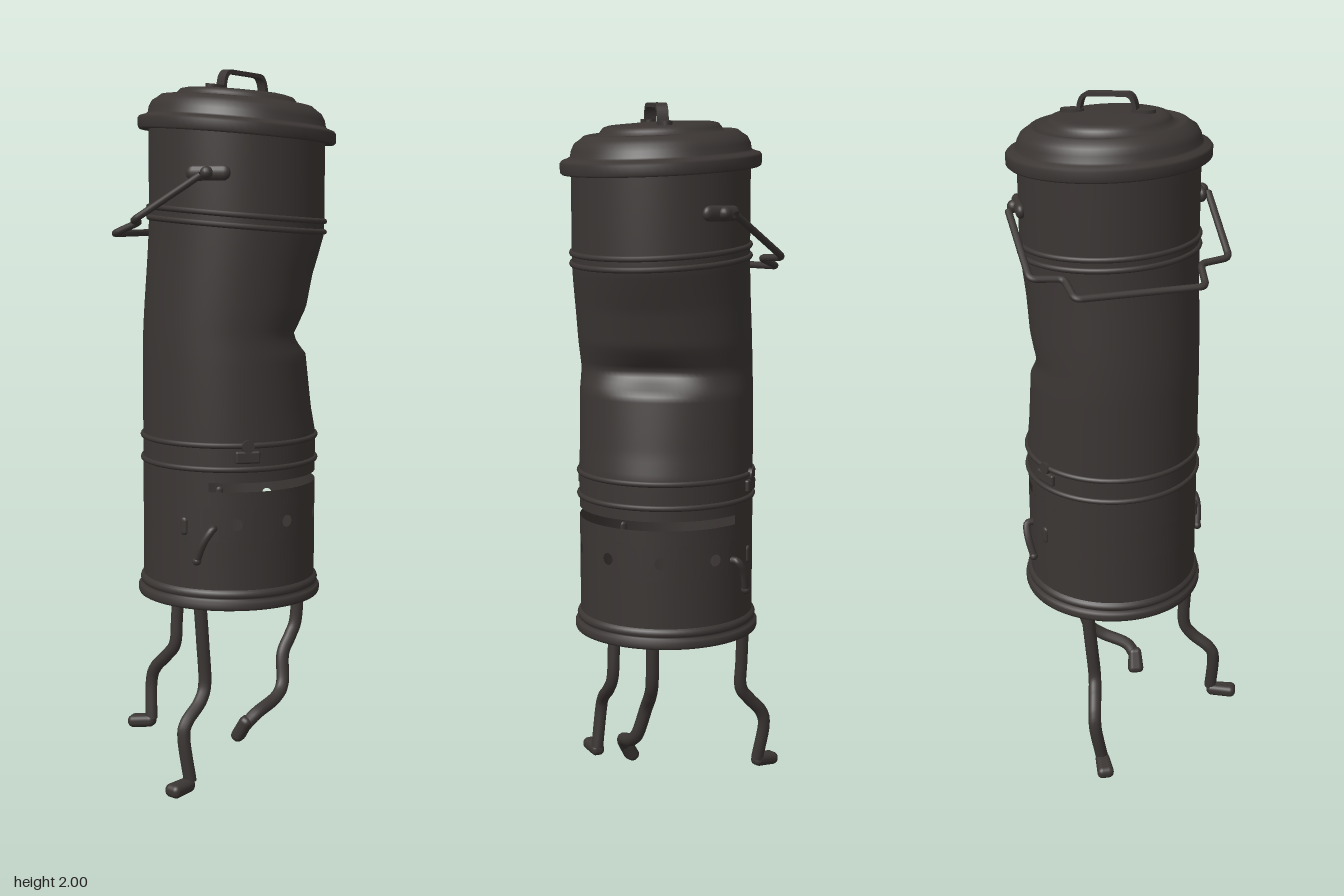
import * as THREE from 'three';
import { mergeVertices } from 'three/addons/utils/BufferGeometryUtils.js';
import { RoundedBoxGeometry } from 'three/addons/geometries/RoundedBoxGeometry.js';

const sootIron = new THREE.MeshStandardMaterial({ color: 0x3b3634, side: THREE.DoubleSide });
sootIron.name = 'sootIron';

const R = 0.25;                    // drum radius
const CX = 0.035, CZ = 0.028;      // drum axis
const rad = THREE.MathUtils.degToRad;
const V = (x, y, z) => new THREE.Vector3(x, y, z);

// Inward dent depth by height (piecewise linear)
const dentRows = [[0.98, 0], [1.05, 0.15], [1.21, 0.38], [1.24, 0.72], [1.27, 1], [1.3, 0.75], [1.345, 0.47], [1.45, 0.32], [1.57, 0]];
function dent(t, y) {
  for (let i = 1; i < dentRows.length; i++) {
    const [y0, a0] = dentRows[i - 1], [y1, a1] = dentRows[i];
    if (y >= y0 && y <= y1) {
      const a = a0 + (a1 - a0) * (y - y0) / (y1 - y0);
      let d = t - rad(25);
      d = Math.atan2(Math.sin(d), Math.cos(d));
      return 0.095 * a * Math.exp(-((d / rad(53)) ** 2));
    }
  }
  return 0;
}

// The upper half of the can leans over
function lean(p) {
  const s = THREE.MathUtils.smoothstep(p.y, 1.2, 1.6);
  p.y -= 0.06 * s * (p.x + p.z);
  p.x += 0.012 * s;
  p.z += 0.017 * s;
  return p;
}
function leanGeometry(g) {
  const pos = g.attributes.position, p = V(0, 0, 0);
  for (let i = 0; i < pos.count; i++) {
    lean(p.fromBufferAttribute(pos, i));
    pos.setXYZ(i, p.x, p.y, p.z);
  }
  return g;
}
const onWall = (t, y) => {
  const r = R - dent(t, y);
  return lean(V(r * Math.cos(t), y, r * Math.sin(t)));
};

// Grid surface from a function of u, v
function surface(nu, nv, fn) {
  const g = new THREE.PlaneGeometry(1, 1, nu, nv), pos = g.attributes.position;
  for (let i = 0; i < pos.count; i++) {
    const p = fn(pos.getX(i) + 0.5, pos.getY(i) + 0.5);
    pos.setXYZ(i, p.x, p.y, p.z);
  }
  g.deleteAttribute('uv');
  g.deleteAttribute('normal');
  const m = mergeVertices(g, 1e-5);
  m.computeVertexNormals();
  return m;
}

export function createModel() {
  const model = new THREE.Group();
  model.name = 'dentedStoveCan';
  const can = new THREE.Group();
  can.name = 'can';
  can.position.set(CX, 0, CZ);
  model.add(can);

  const add = (name, geometry, parent = can) => {
    const m = new THREE.Mesh(geometry, sootIron);
    m.name = name;
    parent.add(m);
    return m;
  };
  const wall = (name, y0, y1, a0, a1, nv = 1) => add(name, surface(
    Math.max(2, Math.round((a1 - a0) / 5)), nv,
    (u, v) => onWall(rad(a0 + (a1 - a0) * u), y0 + (y1 - y0) * v)));
  // Group on the wall with local +z pointing outwards
  const mount = (name, angle, y) => {
    const g = new THREE.Group();
    g.name = name;
    g.position.copy(onWall(rad(angle), y));
    g.rotation.y = Math.PI / 2 - rad(angle);
    can.add(g);
    return g;
  };
  const tube = (name, points, r, parent, tension = 0.5, seg = 60) => add(name, new THREE.TubeGeometry(
    new THREE.CatmullRomCurve3(points, false, 'catmullrom', tension), seg, r, 10), parent);

  // Drum walls, with an open slot round one half
  wall('lowerWall', 0.51, 0.7, 0, 360);
  wall('ventTopWall', 0.8, 0.842, 0, 360);
  wall('slotBackWall', 0.842, 0.868, 145, 323);
  wall('upperWall', 0.868, 1.84, 0, 360, 60);

  // Vent band: square patches with round holes, plain wall between
  const holes = [-20, 17, 54, 91, 127], half = 11.46;
  holes.forEach((h, i) => {
    add('ventHole', surface(32, 3, (u, v) => {
      const a = u * Math.PI * 2, c = Math.cos(a), s = Math.sin(a);
      const k = THREE.MathUtils.lerp(0.017, 0.05 / Math.max(Math.abs(c), Math.abs(s)), v);
      return onWall(rad(h) + c * k / R, 0.75 + s * k);
    }));
    const next = i < holes.length - 1 ? holes[i + 1] : holes[0] + 360;
    wall('ventWall', 0.7, 0.8, h + half, next - half);
  });

  // Floor, foot rim and pressed rings
  const floor = add('floor', new THREE.CircleGeometry(R, 64));
  floor.rotation.x = Math.PI / 2;
  floor.position.y = 0.522;
  const lathe = (name, rows) => add(name, leanGeometry(
    new THREE.LatheGeometry(rows.map(([r, y]) => new THREE.Vector2(r, y)), 72)));
  lathe('baseRim', [[0.247, 0.508], [0.264, 0.508], [0.266, 0.514], [0.266, 0.526], [0.262, 0.532], [0.252, 0.536],
    [0.258, 0.542], [0.26, 0.55], [0.257, 0.558], [0.249, 0.564]]);
  for (const y of [0.905, 0.972, 1.575, 1.605]) {
    const ring = new THREE.TorusGeometry(R, 0.008, 8, 72);
    ring.rotateX(Math.PI / 2).translate(0, y, 0);
    add('ring', leanGeometry(ring));
  }

  // Stepped lid
  lathe('lid', [[0.245, 1.822], [0.275, 1.82], [0.28, 1.825], [0.281, 1.85], [0.276, 1.857], [0.258, 1.863],
    [0.252, 1.868], [0.249, 1.885], [0.24, 1.902], [0.225, 1.912], [0.214, 1.921], [0.205, 1.923], [0.192, 1.917],
    [0.175, 1.92], [0.168, 1.932], [0.16, 1.941], [0.145, 1.945], [0.07, 1.949], [0, 1.95]]);

  // Lid handle: bent flat strap with paddle ends
  const strap = new THREE.Shape();
  strap.moveTo(-0.085, 1.945);
  strap.quadraticCurveTo(-0.082, 2.0, -0.055, 2.002);
  strap.lineTo(0.055, 2.002);
  strap.quadraticCurveTo(0.082, 2.0, 0.085, 1.945);
  strap.lineTo(0.074, 1.945);
  strap.quadraticCurveTo(0.072, 1.99, 0.052, 1.991);
  strap.lineTo(-0.052, 1.991);
  strap.quadraticCurveTo(-0.072, 1.99, -0.074, 1.945);
  const strapGeometry = new THREE.ExtrudeGeometry(strap, { depth: 0.032, bevelEnabled: false });
  add('lidHandle', leanGeometry(strapGeometry.translate(0.008, 0, -0.001)));
  for (const s of [-1, 1]) {
    const paddle = new THREE.CylinderGeometry(0.021, 0.021, 0.012, 20);
    paddle.scale(1.6, 1, 1).translate(0.008 + s * 0.1, 1.95, 0.015);
    add('lidHandleEnd', leanGeometry(paddle));
  }

  // Lugs for the carrying bail
  for (const angle of [150, -27]) {
    const lug = mount('bailLug', angle, 1.71);
    const plate = new THREE.CapsuleGeometry(0.021, 0.085, 6, 16);
    add('lugPlate', plate.rotateZ(Math.PI / 2).scale(1, 1, 0.7), lug);
    add('lugEye', new THREE.SphereGeometry(0.018, 16, 10), lug).position.z = 0.014;
  }

  // Carrying bail hanging behind, straight wire with tight bends
  const corners = [[-0.2, 1.71, 0.175], [-0.302, 1.588, 0.01], [-0.236, 1.583, -0.045], [-0.27, 1.55, -0.118],
    [0.035, 1.548, -0.3], [0.087, 1.575, -0.235], [0.168, 1.58, -0.275], [0.286, 1.7, -0.105]].map(p => V(...p));
  const wire = new THREE.CurvePath();
  let from = corners[0];
  for (let i = 1; i < corners.length; i++) {
    const c = corners[i], last = i === corners.length - 1;
    const toward = q => c.clone().add(q.clone().sub(c).setLength(0.018));
    const stop = last ? c : toward(corners[i - 1]);
    wire.add(new THREE.LineCurve3(from, stop));
    if (!last) {
      from = toward(corners[i + 1]);
      wire.add(new THREE.QuadraticBezierCurve3(stop, c, from));
    }
  }
  add('bail', new THREE.TubeGeometry(wire, 220, 0.01, 10), model);

  // Clasps between the lower rings
  for (const angle of [120, -58]) {
    const clasp = mount('clasp', angle, 0.94);
    add('claspPlate', new RoundedBoxGeometry(0.07, 0.035, 0.018, 2, 0.006), clasp);
    const knob = add('claspKnob', new THREE.CylinderGeometry(0.018, 0.018, 0.022, 16), clasp);
    knob.rotation.x = Math.PI / 2;
    knob.position.y = 0.03;
  }

  // Door levers and keyhole tabs
  for (const [angle, s] of [[145, -1], [-38, 1]]) {
    const lever = mount('doorLever', angle, 0.7);
    tube('leverArm', [V(-s * 0.015, 0.04, -0.005), V(-s * 0.012, 0.036, 0.018), V(s * 0.01, 0, 0.022), V(s * 0.03, -0.05, 0.014)], 0.011, lever, 0.5, 20);
    add('leverTip', new THREE.SphereGeometry(0.013, 12, 8), lever).position.set(s * 0.03, -0.052, 0.014);
    const tab = mount('keyholeTab', angle - s * 17, 0.74);
    add('tabPlate', new THREE.CapsuleGeometry(0.011, 0.03, 4, 12).scale(1, 1, 0.6), tab);
  }

  // Three crooked legs, each with a foot lying from heel to toe
  const legs = [
    { path: [[-0.175, 0.53, 0.14], [-0.168, 0.4, 0.145], [-0.165, 0.29, 0.15], [-0.19, 0.24, 0.158], [-0.245, 0.195, 0.165], [-0.26, 0.15, 0.17], [-0.25, 0.03, 0.185]],
      heel: [-0.24, 0.02, 0.18], toe: [-0.332, 0.02, 0.195] },
    { path: [[0.045, 0.53, -0.205], [0.03, 0.38, -0.205], [0.022, 0.29, -0.205], [0.012, 0.245, -0.235], [0, 0.2, -0.275], [-0.006, 0.15, -0.288], [-0.02, 0.04, -0.272]],
      heel: [-0.015, 0.036, -0.26], toe: [-0.055, 0.024, -0.338] },
    { path: [[0.237, 0.53, 0.115], [0.228, 0.4, 0.115], [0.205, 0.35, 0.115], [0.17, 0.3, 0.12], [0.15, 0.22, 0.14], [0.11, 0.185, 0.152], [0.03, 0.158, 0.158], [-0.005, 0.125, 0.145]],
      heel: [0.0, 0.15, 0.155], toe: [-0.016, 0.078, 0.118] },
  ];
  for (const { path, heel, toe } of legs) {
    tube('leg', path.map(p => V(...p)), 0.019, model);
    const a = V(...heel), b = V(...toe), length = a.distanceTo(b);
    const foot = new RoundedBoxGeometry(0.052, 0.038, length, 4, 0.017);
    const pos = foot.attributes.position;
    // Narrower at the heel
    for (let i = 0; i < pos.count; i++) pos.setX(i, pos.getX(i) * (0.88 + 0.25 * pos.getZ(i) / length));
    const m = add('foot', foot, model);
    m.position.copy(a).lerp(b, 0.5);
    m.lookAt(b);
  }
  return model;
}
